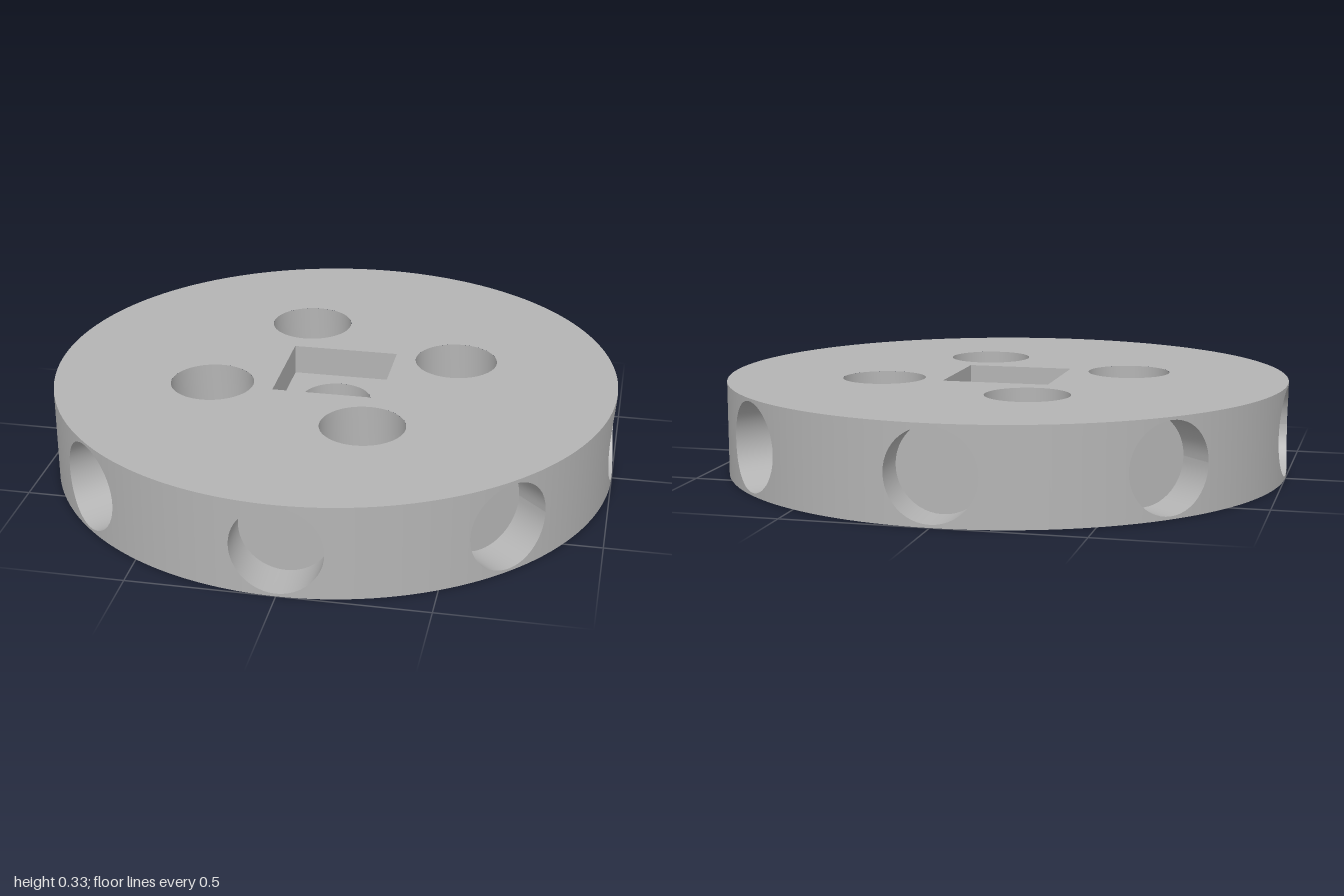
import * as THREE from 'three';
import { toCreasedNormals } from 'three/addons/utils/BufferGeometryUtils.js';

const H = 0.33, MID = H / 2;                  // disc radius is 1
const POCKET_R = 0.155, POCKET_FLOOR = 0.853; // blind pockets around the rim
const POCKET = 0.19, POCKET_DEPTH = 0.107;    // square recess, half width and depth
const CENTRE_R = 0.124, BOLT_R = 0.084, BORE_R = 0.147, BORE_DEPTH = 0.165;
const BOLT_CIRCLE = 0.445, SEG = 48, SECTORS = 8;

// Surface from pairs of points, one quad between neighbouring pairs
function strip(pairs) {
  const pos = [], idx = [];
  pairs.forEach(([a, b], i) => {
    pos.push(...a, ...b);
    if (i) { const k = 2 * i; idx.push(k - 2, k, k - 1, k - 1, k, k + 1); }
  });
  const g = new THREE.BufferGeometry();
  g.setAttribute('position', new THREE.Float32BufferAttribute(pos, 3));
  g.setIndex(idx);
  g.computeVertexNormals();
  return g;
}

// Inward-facing wall of a hole, profile listed from top to bottom
function holeWall(profile, segments = SEG, start = 0) {
  const pts = profile.map(([r, y]) => new THREE.Vector2(r, y));
  return toCreasedNormals(new THREE.LatheGeometry(pts, segments, start), 0.6);
}

const circle = (x, y, r) => new THREE.Path().absarc(x, y, r, 0, Math.PI * 2, false);

function square(Type) {
  const p = POCKET;
  return new Type([[-p, -p], [p, -p], [p, p], [-p, p]].map(([x, y]) => new THREE.Vector2(x, y)));
}

export function createModel() {
  const group = new THREE.Group();
  const grey = new THREE.MeshStandardMaterial({ color: 0xb4b4b4 });
  grey.name = 'grey';
  const add = (name, geometry, parent = group) => {
    const m = new THREE.Mesh(geometry, grey);
    m.name = name;
    parent.add(m);
    return m;
  };

  // Column angles of one rim sector, dense across the pocket mouth
  const half = Math.PI / SECTORS, edge = Math.asin(POCKET_R), N = 24;
  const mouth = [], left = [], right = [];
  for (let i = 0; i <= N; i++) mouth.push(Math.asin(-POCKET_R * Math.cos(Math.PI * i / N)));
  for (let i = 0; i <= 6; i++) {
    left.push(-half + (half - edge) * i / 6);
    right.push(edge + (half - edge) * i / 6);
  }
  const at = (t, y) => [Math.sin(t), y, Math.cos(t)];
  const gap = t => Math.sqrt(Math.max(0, POCKET_R ** 2 - Math.sin(t) ** 2));

  const full = t => [at(t, 0), at(t, H)];
  const rimParts = {
    rimLeft: strip(left.map(full)),
    rimRight: strip(right.map(full)),
    rimBelowPocket: strip(mouth.map(t => [at(t, 0), at(t, MID - gap(t))])),
    rimAbovePocket: strip(mouth.map(t => [at(t, MID + gap(t)), at(t, H)])),
  };
  // Radial normals keep the rim smooth across its pieces
  for (const g of Object.values(rimParts)) {
    const p = g.attributes.position, n = g.attributes.normal;
    for (let i = 0; i < p.count; i++) n.setXYZ(i, p.getX(i), 0, p.getZ(i));
  }

  // Pocket side wall and flat floor
  const wall = [];
  for (let i = 0; i <= SEG; i++) {
    const a = 2 * Math.PI * i / SEG;
    const x = POCKET_R * Math.cos(a), y = MID + POCKET_R * Math.sin(a);
    wall.push([[x, y, POCKET_FLOOR], [x, y, Math.sqrt(1 - x * x)]]);
  }
  const pocketWall = strip(wall.reverse());
  const pocketFloor = new THREE.CircleGeometry(POCKET_R, SEG).translate(0, MID, POCKET_FLOOR);

  const outline = [];
  for (let s = 0; s < SECTORS; s++) {
    const sector = new THREE.Group();
    sector.name = 'rimSector';
    sector.rotation.y = s * 2 * half;
    for (const [name, g] of Object.entries(rimParts)) add(name, g, sector);
    add('pocketWall', pocketWall, sector);
    add('pocketFloor', pocketFloor, sector);
    group.add(sector);
    for (const t of [...left, ...mouth.slice(1, -1), ...right.slice(0, -1)]) {
      const a = t + s * 2 * half;
      outline.push(new THREE.Vector2(Math.sin(a), Math.cos(a)));
    }
  }

  // Four bolt positions as x, z
  const bolts = [0, 1, 2, 3].map(i => {
    const a = -Math.PI / 8 + i * Math.PI / 2;
    return [BOLT_CIRCLE * Math.cos(a), BOLT_CIRCLE * Math.sin(a)];
  });

  // Top face
  const top = new THREE.Shape(outline.map(p => new THREE.Vector2(p.x, -p.y)));
  top.holes.push(square(THREE.Path), ...bolts.map(([x, z]) => circle(x, -z, BORE_R)));
  add('topFace', new THREE.ShapeGeometry(top, SEG).rotateX(-Math.PI / 2).translate(0, H, 0));

  // Bottom face
  const bottom = new THREE.Shape(outline);
  bottom.holes.push(circle(0, 0, CENTRE_R), ...bolts.map(([x, z]) => circle(x, z, BOLT_R)));
  add('bottomFace', new THREE.ShapeGeometry(bottom, SEG).rotateX(Math.PI / 2));

  // Square recess with the centre hole in its floor
  const floorY = H - POCKET_DEPTH, corner = POCKET * Math.SQRT2;
  add('recessWall', holeWall([[corner, H], [corner, floorY]], 4, Math.PI / 4));
  const floor = square(THREE.Shape);
  floor.holes.push(circle(0, 0, CENTRE_R));
  add('recessFloor', new THREE.ShapeGeometry(floor, SEG).rotateX(-Math.PI / 2).translate(0, floorY, 0));
  add('centreHole', holeWall([[CENTRE_R, floorY], [CENTRE_R, 0]]));

  // Counterbored bolt holes
  const ledge = H - BORE_DEPTH;
  const boltHole = holeWall([[BORE_R, H], [BORE_R, ledge], [BOLT_R, ledge], [BOLT_R, 0]]);
  for (const [x, z] of bolts) add('boltHole', boltHole).position.set(x, 0, z);

  return group;
}
